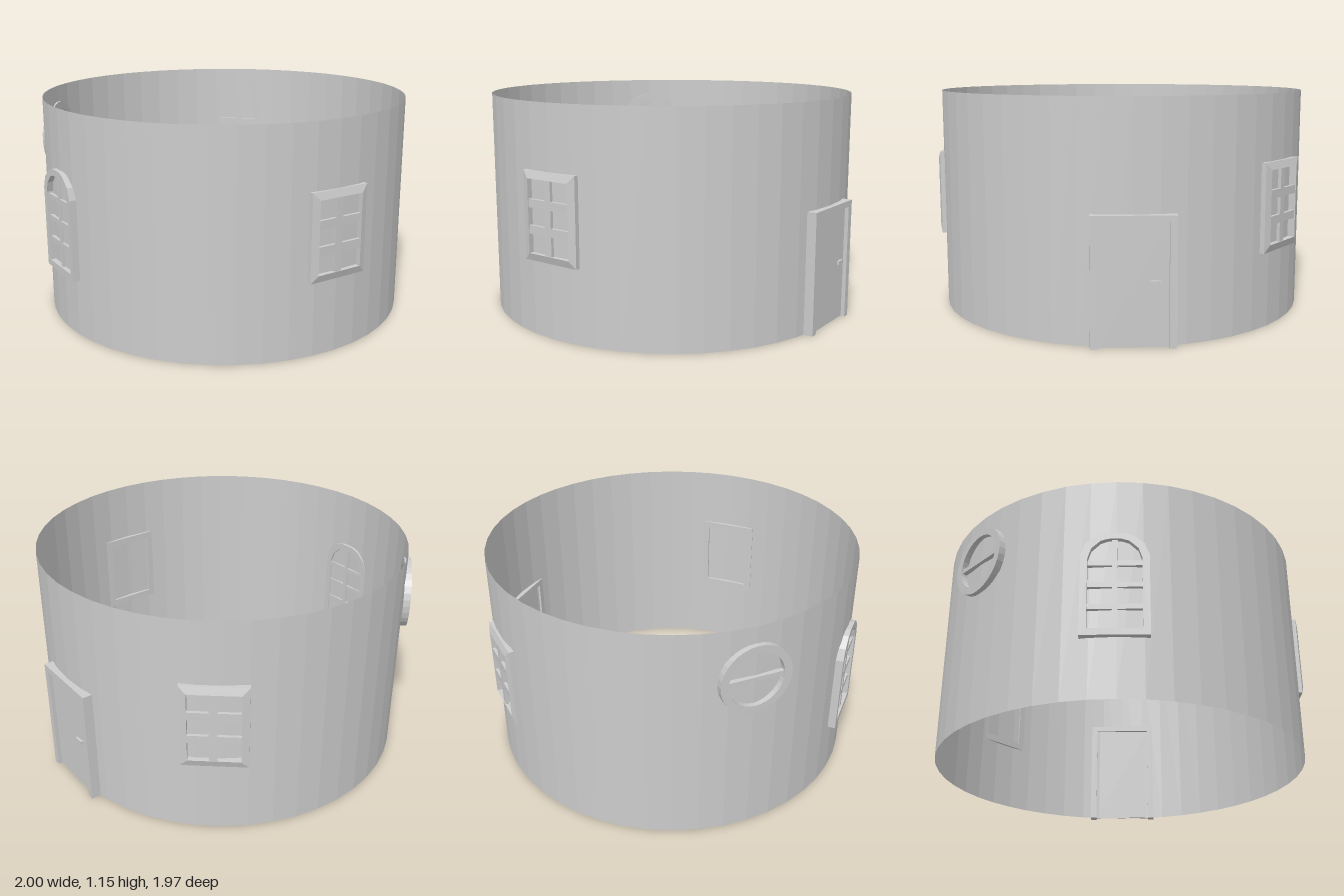
import * as THREE from 'three';

const material = new THREE.MeshStandardMaterial({
  color: 0xcccccc, flatShading: true, side: THREE.DoubleSide,
});

function add(parent, name, geometry, x = 0, y = 0, z = 0) {
  const mesh = new THREE.Mesh(geometry, material);
  mesh.name = name;
  mesh.position.set(x, y, z);
  parent.add(mesh);
  return mesh;
}

// Opening assembly: local +z points out of the wall
function opening(parent, name, x, y, z, degrees) {
  const group = new THREE.Group();
  group.name = name;
  group.position.set(x, y, z);
  group.rotation.y = THREE.MathUtils.degToRad(degrees);
  parent.add(group);
  return group;
}

// Flat frame: outline with an optional hole, centred on local z = 0
function frameGeometry(outer, inner, depth) {
  const toPoints = (list) => list.map(([x, y]) => new THREE.Vector2(x, y));
  const shape = new THREE.Shape(toPoints(outer));
  if (inner) shape.holes.push(new THREE.Path(toPoints(inner)));
  return new THREE.ExtrudeGeometry(shape, { depth, bevelEnabled: false }).translate(0, 0, -depth / 2);
}

const rectangle = (w, h) => [[-w, -h], [w, -h], [w, h], [-w, h]];

const circle = (r, n = 32) => Array.from({ length: n }, (_, i) => {
  const a = (i / n) * Math.PI * 2;
  return [r * Math.cos(a), r * Math.sin(a)];
});

// Six-pane window whose front slopes back at its sides
function paneWindow(parent, name, x, z, degrees) {
  const group = opening(parent, name, x, 0.603, z, degrees);
  const geometry = frameGeometry(rectangle(0.165, 0.222), rectangle(0.128, 0.184), 0.04);
  const p = geometry.attributes.position;
  for (let i = 0; i < p.count; i++) {
    if (Math.abs(p.getX(i)) > 0.15 && p.getZ(i) > 0) p.setZ(i, 0.007);
  }
  geometry.computeVertexNormals();
  add(group, 'windowFrame', geometry);
  add(group, 'uprightBar', new THREE.BoxGeometry(0.04, 0.37, 0.016), -0.005, 0, 0.007);
  for (const y of [-0.066, 0.063]) {
    add(group, 'crossBar', new THREE.BoxGeometry(0.256, 0.042, 0.016), 0, y, 0.007);
  }
}

// Window with a faceted arched head
function archedWindow(parent) {
  const group = opening(parent, 'archedWindow', -0.98, 0.3, -0.018, -90);
  const outer = [[-0.162, 0], [0.162, 0], [0.162, 0.42], [0.14, 0.48], [0.085, 0.527], [0.04, 0.54],
    [-0.04, 0.54], [-0.085, 0.527], [-0.14, 0.48], [-0.162, 0.42]];
  const inner = outer.map(([x, y]) => [x * 0.79, 0.033 + y * 0.878]);
  add(group, 'archFrame', frameGeometry(outer, inner, 0.04));
  add(group, 'uprightBar', new THREE.BoxGeometry(0.026, 0.475, 0.026), 0, 0.27, -0.004);
  for (const y of [0.15, 0.265, 0.38]) {
    add(group, 'crossBar', new THREE.BoxGeometry(0.256, 0.026, 0.026), 0, y, -0.004);
  }
}

// Round window with one horizontal bar
function roundWindow(parent) {
  const group = opening(parent, 'roundWindow', -0.695, 0.88, -0.705, 225);
  add(group, 'ringFrame', frameGeometry(circle(0.183), circle(0.143), 0.036));
  add(group, 'crossBar', new THREE.BoxGeometry(0.286, 0.024, 0.024));
}

// Door with an open-bottomed frame, recessed leaf and handle
function door(parent) {
  const group = opening(parent, 'door', 0.972, 0, -0.013, 90);
  const outline = [[-0.2, 0], [-0.165, 0], [-0.165, 0.59], [0.165, 0.59],
    [0.165, 0], [0.2, 0], [0.2, 0.622], [-0.2, 0.622]];
  add(group, 'doorFrame', frameGeometry(outline, null, 0.055));
  add(group, 'doorLeaf', new THREE.BoxGeometry(0.33, 0.588, 0.02), 0, 0.296, -0.003);
  add(group, 'doorHandle', new THREE.BoxGeometry(0.05, 0.018, 0.012), 0.102, 0.31, 0.02);
  add(group, 'handleStem', new THREE.BoxGeometry(0.012, 0.012, 0.015), 0.12, 0.31, 0.011);
}

export function createModel() {
  const model = new THREE.Group();
  model.name = 'roundBuildingWall';

  // Thin round wall, open above and below
  add(model, 'wall', new THREE.CylinderGeometry(0.975, 0.975, 1.152, 48, 1, true), -0.003, 0.576, -0.01);

  paneWindow(model, 'frontWindow', 0, 0.965, 0);
  paneWindow(model, 'backWindow', 0.622, -0.765, 139);
  archedWindow(model);
  roundWindow(model);
  door(model);
  return model;
}
